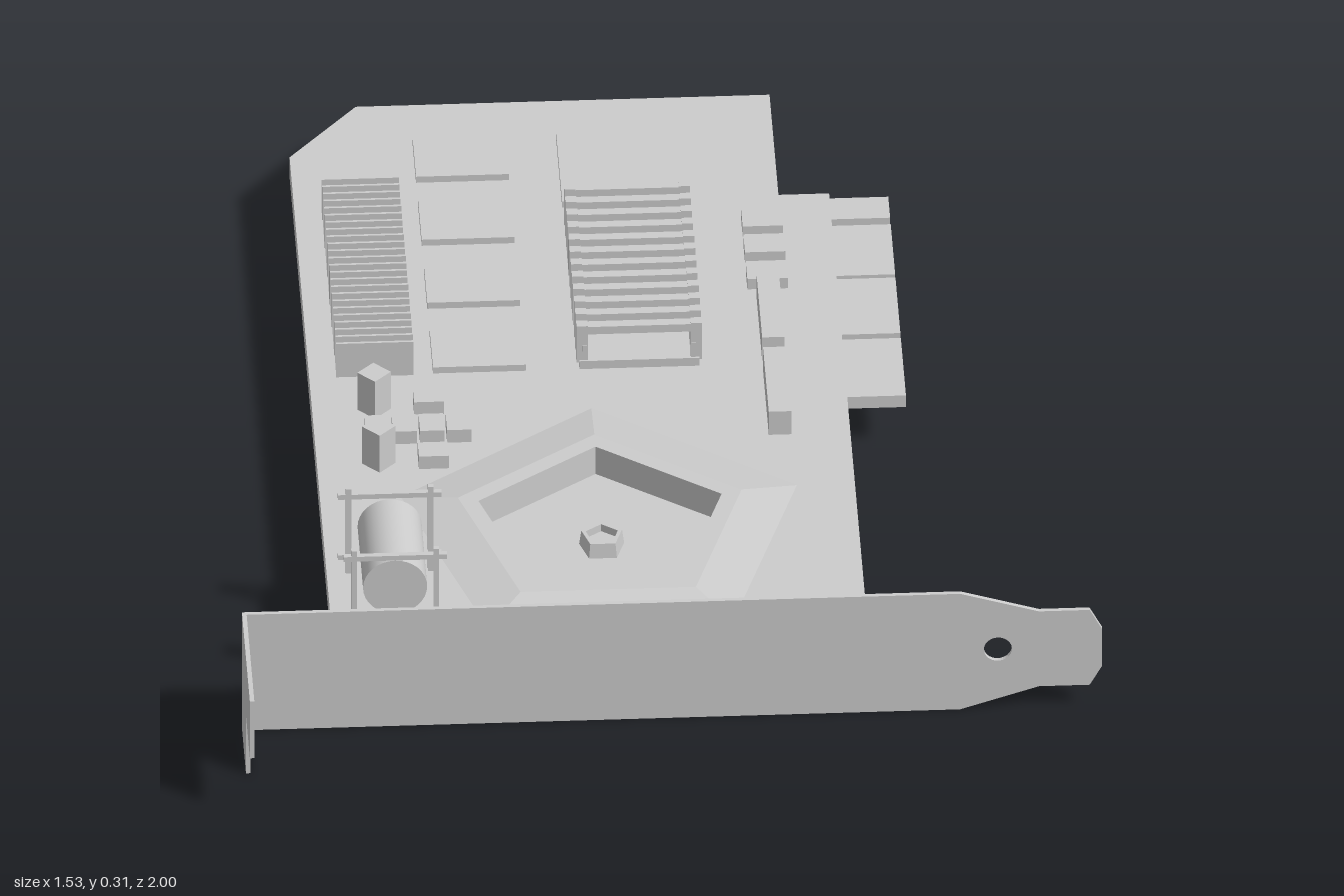
import * as THREE from 'three';
import { mergeGeometries } from 'three/addons/utils/BufferGeometryUtils.js';

const TOP = 0.128, BOTTOM = 0.085;
const solid = new THREE.MeshStandardMaterial({ color: 0xcccccc, flatShading: true });
const smooth = new THREE.MeshStandardMaterial({ color: 0xcccccc });
const thin = new THREE.MeshStandardMaterial({ color: 0xcccccc, flatShading: true, side: THREE.DoubleSide });

function add(parent, name, geometry, material = solid) {
  const mesh = new THREE.Mesh(geometry, material);
  mesh.name = name;
  parent.add(mesh);
  return mesh;
}

function group(parent, name) {
  const g = new THREE.Group();
  g.name = name;
  parent.add(g);
  return g;
}

// Box given by its limits on each axis
function box(parent, name, x0, x1, y0, y1, z0, z1) {
  const mesh = add(parent, name, new THREE.BoxGeometry(x1 - x0, y1 - y0, z1 - z0));
  mesh.position.set((x0 + x1) / 2, (y0 + y1) / 2, (z0 + z1) / 2);
  return mesh;
}

const toPath = (pts) => pts.map(([x, y]) => new THREE.Vector2(x, y));

// Top sheet with side walls and an open underside; outline is in [x, z]
function openShell(outline, y0, y1, hole) {
  const pts = toPath(outline.map(([x, z]) => [x, -z]));
  if (THREE.ShapeUtils.isClockWise(pts)) pts.reverse();
  const shape = new THREE.Shape(pts);
  if (hole) shape.holes.push(new THREE.Path(toPath(hole.map(([x, z]) => [x, -z]))));
  const sheet = new THREE.ShapeGeometry(shape).rotateX(-Math.PI / 2).translate(0, y1, 0).toNonIndexed();
  sheet.deleteAttribute('uv');
  const pos = [];
  pts.forEach((a, i) => {
    const b = pts[(i + 1) % pts.length];
    pos.push(a.x, y0, -a.y, b.x, y0, -b.y, b.x, y1, -b.y);
    pos.push(a.x, y0, -a.y, b.x, y1, -b.y, a.x, y1, -a.y);
  });
  const walls = new THREE.BufferGeometry();
  walls.setAttribute('position', new THREE.Float32BufferAttribute(pos, 3));
  walls.computeVertexNormals();
  return mergeGeometries([sheet, walls]);
}

function buildBoard(parent) {
  const cx = -0.105, cz = 0.322, R = 0.37;
  const pentagon = Array.from({ length: 5 }, (_, i) => {
    const a = Math.PI + i * Math.PI * 2 / 5;
    return [cx + R * Math.sin(a), cz + R * Math.cos(a)];
  });
  const outline = [[-0.6, 0.725], [-0.6, -0.85], [-0.475, -1], [0.26, -1], [0.26, -0.69], [0.35, -0.69],
    [0.35, 0.6], [0.46, 0.6], [0.46, 0.725]];
  add(parent, 'board', openShell(outline, BOTTOM, TOP, pentagon), thin);

  // Five-sided raised rim, recess and hub
  const profile = toPath([[R, TOP], [0.265, 0.145], [0.227, 0.145], [0.227, 0.086], [0.042, 0.086],
    [0.038, 0.115], [0.03, 0.115], [0.03, 0.1], [0, 0.1]]);
  const well = add(parent, 'fanWell', new THREE.LatheGeometry(profile, 5, Math.PI), thin);
  well.position.set(cx, 0, cz);

  // Edge connector tabs
  for (const [z0, z1] of [[-0.69, -0.625], [-0.605, -0.45], [-0.44, -0.268], [-0.253, -0.075]]) {
    add(parent, 'edgeContact', openShell([[0.35, z0], [0.455, z0], [0.455, z1], [0.35, z1]], 0.092, 0.117), thin);
  }
}

function buildBracket(parent) {
  const bracket = group(parent, 'bracket');
  // Face plate with tapered tongue and screw hole
  const plate = new THREE.Shape(toPath([[-0.765, 0], [0.51, 0], [0.65, 0.045], [0.74, 0.045], [0.762, 0.085],
    [0.762, 0.165], [0.74, 0.207], [0.65, 0.207], [0.51, 0.25], [-0.765, 0.25]]));
  plate.holes.push(new THREE.Path().absarc(0.577, 0.128, 0.025, 0, Math.PI * 2, true));
  add(bracket, 'facePlate', new THREE.ExtrudeGeometry(plate, { depth: 0.008, bevelEnabled: false, curveSegments: 16 }))
    .position.z = 0.724;
  // Stepped flange bent forward
  const flange = new THREE.Shape(toPath([[-0.73, 0], [-0.73, 0.25], [-1, 0.25], [-1, 0.127], [-0.865, 0.127], [-0.865, 0]]));
  const bent = add(bracket, 'flange', new THREE.ExtrudeGeometry(flange, { depth: 0.008, bevelEnabled: false }));
  bent.rotation.y = Math.PI / 2;
  bent.position.x = -0.765;
}

function buildChips(parent) {
  const chips = group(parent, 'chips');
  for (const [z0, z1] of [[-0.885, -0.76], [-0.685, -0.565], [-0.49, -0.37], [-0.295, -0.17]]) {
    box(chips, 'memoryChip', -0.38, -0.215, TOP, 0.141, z0, z1);
  }
  box(chips, 'mainChip', -0.125, 0.095, TOP, 0.141, -0.885, -0.67);
  for (const z of [-0.62, -0.54, -0.457]) box(chips, 'smallChip', 0.19, 0.262, TOP, 0.15, z, z + 0.056);
  for (const z of [-0.38, -0.15]) box(chips, 'socket', 0.205, 0.245, TOP, 0.178, z, z + 0.2);
  for (let i = 0; i < 4; i++) {
    const x = -0.51 + i * 0.048;
    box(chips, 'resistor', x, x + 0.043, TOP, 0.155, -0.008, 0.045);
  }
  for (const z of [-0.088, 0.08]) box(chips, 'resistor', -0.42, -0.367, TOP, 0.155, z, z + 0.044);
  for (const z of [-0.065, 0.102]) {
    box(chips, 'capacitor', -0.511, -0.469, TOP, 0.208, z - 0.021, z + 0.021).rotation.y = Math.PI / 4;
  }
}

function buildHeatSinks(parent) {
  // Tall block of close thin fins
  const fins = group(parent, 'finStack');
  for (let i = 0; i < 24; i++) {
    const z = -0.68 + i * 0.0221;
    box(fins, 'fin', -0.552, -0.415, TOP, 0.2, z, z + 0.005);
  }
  // Row of arches on a low base
  const arches = group(parent, 'archedHeatSink');
  box(arches, 'base', -0.12, 0.093, TOP, 0.145, -0.62, -0.17);
  for (let i = 0; i < 12; i++) {
    const z = -0.615 + i * 0.0385;
    for (const x of [-0.115, 0.088]) box(arches, 'post', x - 0.01, x + 0.01, 0.14, 0.218, z, z + 0.018);
    box(arches, 'crossbar', -0.105, 0.078, 0.2, 0.216, z, z + 0.018);
  }
  for (const x of [-0.11, 0.083]) box(arches, 'rail', x - 0.004, x + 0.004, 0.165, 0.176, -0.618, -0.172);
}

function buildCoil(parent) {
  const coil = group(parent, 'coil');
  const cx = -0.488;
  const barrel = add(coil, 'barrel', new THREE.CylinderGeometry(0.057, 0.057, 0.19, 32), smooth);
  barrel.rotation.x = Math.PI / 2;
  barrel.position.set(cx, 0.227, 0.532);
  // Crossed-bar frame at each end
  for (const z of [0.435, 0.627]) {
    for (const s of [-1, 1]) {
      const x = cx + s * 0.073, y = 0.228 + s * 0.065;
      box(coil, 'upright', x - 0.005, x + 0.005, TOP, 0.31, z - 0.005, z + 0.005);
      box(coil, 'crossBar', cx - 0.092, cx + 0.092, y - 0.005, y + 0.005, z - 0.005, z + 0.005);
    }
  }
}

function buildPorts(parent) {
  const ports = group(parent, 'ports');
  box(ports, 'boxPort', -0.46, -0.27, TOP, 0.19, 0.652, 0.724);
  // Shallow six-sided port
  const hex = new THREE.Shape(toPath([[-0.18, 0.155], [-0.155, TOP], [-0.07, TOP], [-0.045, 0.155], [-0.045, 0.185],
    [-0.07, 0.21], [-0.155, 0.21], [-0.18, 0.185]]));
  add(ports, 'hexPort', new THREE.ExtrudeGeometry(hex, { depth: 0.034, bevelEnabled: false })).position.z = 0.69;
  // Port with one sloped side
  const sloped = new THREE.Shape(toPath([[0.115, TOP], [0.255, TOP], [0.255, 0.165], [0.23, 0.19], [0.145, 0.19], [0.115, 0.165]]));
  add(ports, 'slopedPort', new THREE.ExtrudeGeometry(sloped, { depth: 0.07, bevelEnabled: false })).position.z = 0.654;
}

export function createModel() {
  const model = new THREE.Group();
  model.name = 'expansionCard';
  [buildBoard, buildBracket, buildChips, buildHeatSinks, buildCoil, buildPorts].forEach((build) => build(model));
  return model;
}
